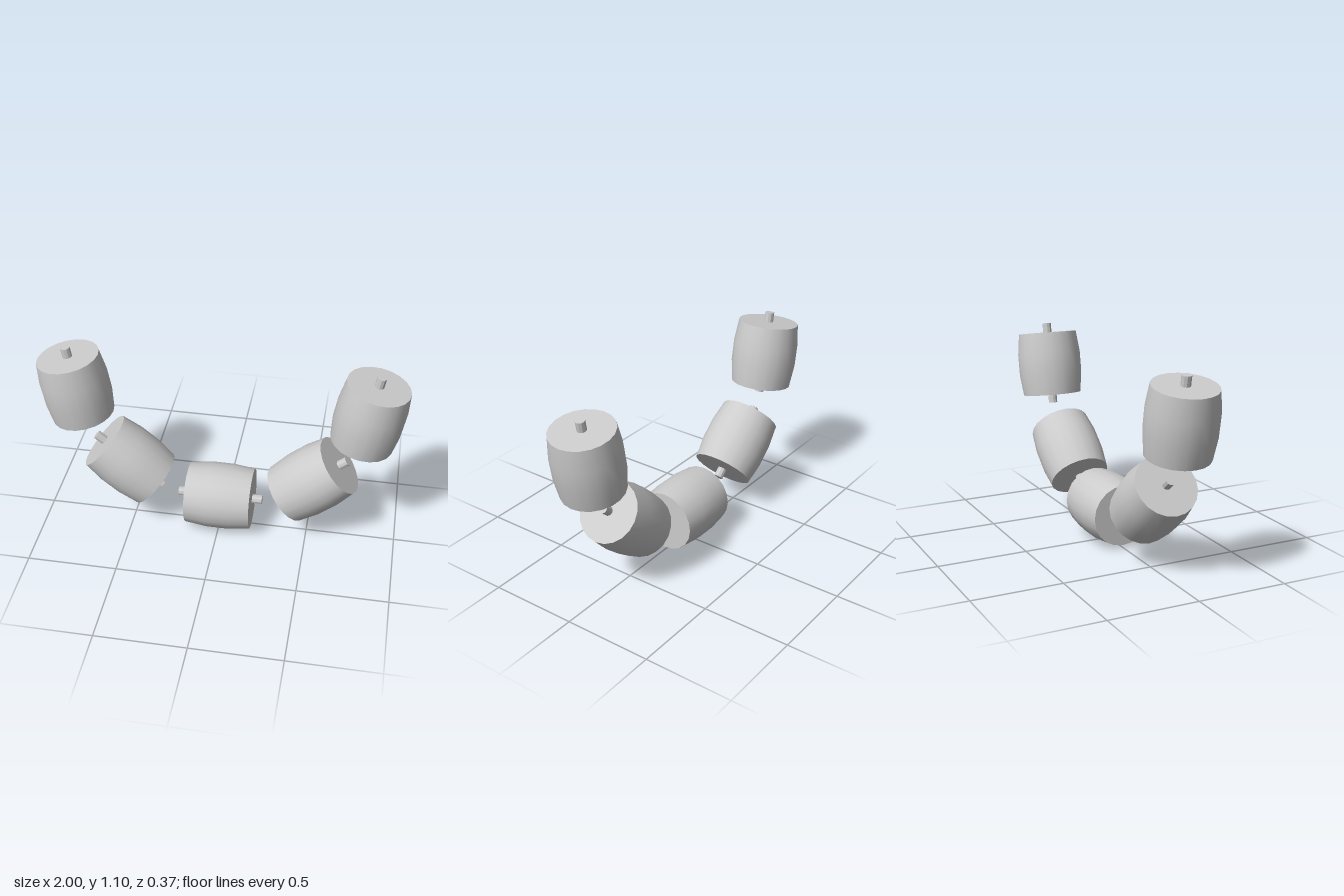
import * as THREE from 'three';

const SIDES = 20;
const HALF = 0.184;   // half length of a bead
const END_R = 0.172;  // radius at the flat ends
const MID_R = 0.187;  // radius at the bulge

export function createModel() {
  const model = new THREE.Group();
  model.name = 'beadArc';
  const grey = new THREE.MeshStandardMaterial({ color: 0xcccccc });
  grey.name = 'light grey';

  // Barrel wall, bulging smoothly between its two ends
  const wall = new THREE.LatheGeometry([
    new THREE.Vector2(END_R, -HALF),
    new THREE.Vector2(MID_R, -HALF / 3),
    new THREE.Vector2(MID_R, HALF / 3),
    new THREE.Vector2(END_R, HALF),
  ], SIDES);
  const cap = new THREE.CircleGeometry(END_R, SIDES).rotateX(-Math.PI / 2).translate(0, HALF, 0);
  const capBelow = cap.clone().rotateX(Math.PI);
  // Thin rod sticking out of both ends
  const rod = new THREE.CylinderGeometry(0.026, 0.026, 0.48, 10).toNonIndexed();
  rod.computeVertexNormals();

  function addBead(name, x, y, degrees) {
    const bead = new THREE.Group();
    bead.name = name;
    const parts = { barrelWall: wall, upperCap: cap, lowerCap: capBelow, rod };
    for (const [partName, geometry] of Object.entries(parts)) {
      const mesh = new THREE.Mesh(geometry, grey);
      mesh.name = partName;
      bead.add(mesh);
    }
    bead.position.set(x, y, 0);
    bead.rotation.z = THREE.MathUtils.degToRad(degrees);
    model.add(bead);
  }

  // Bottom bead lies flat; the others climb in mirrored pairs
  addBead('bottomBead', 0, 0.188, -90);
  for (const [side, s] of [['left', 1], ['right', -1]]) {
    addBead(side + 'MiddleBead', s * 0.519, 0.379, s * -50);
    addBead(side + 'TopBead', s * 0.798, 0.859, s * -10);
  }
  return model;
}
